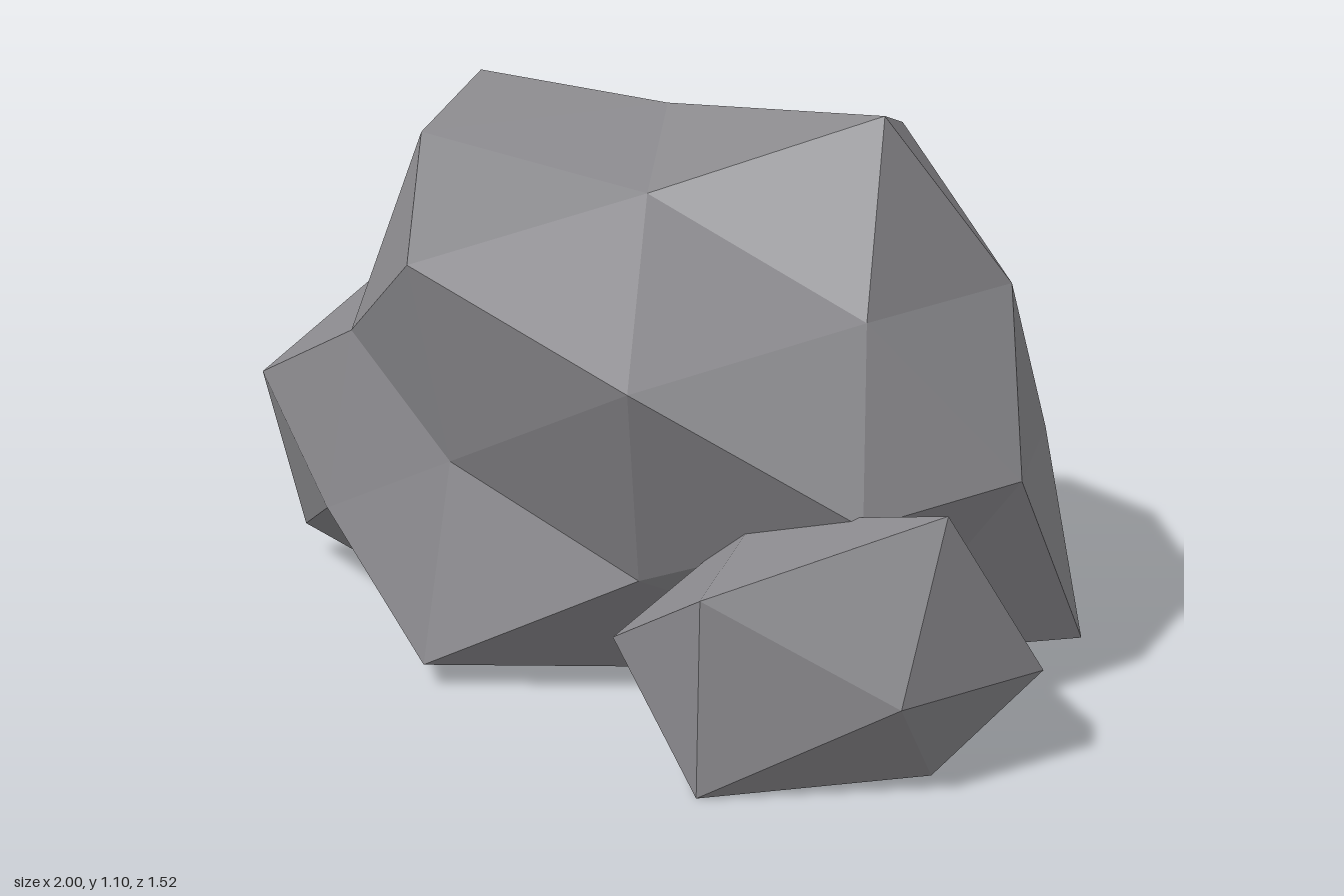
import * as THREE from 'three';

const stone = new THREE.MeshStandardMaterial({ color: 0x8a898d, flatShading: true });
stone.name = 'stone grey';

// Radius of each icosahedron corner, grouped by direction family (absolute x, y, z in tenths).
// Within a family the index counts the signs of the non-zero axes: x, then y, then z.
const BOULDER = {
  '5,9,0': [1.075, 1.014, 0.95, 0.85],
  '0,5,9': [1.07, 1.035, 0.95, 1.03],
  '9,0,5': [1.04, 0.94, 0.827, 0.88],
  '10,0,0': [0.912, 0.843],
  '0,10,0': [0.855, 0.9],
  '0,0,10': [0.78, 0.733],
  '3,8,5': [0.9, 0.985, 0.8, 0.82, 0.96, 0.76, 0.73, 0.8],
  '8,5,3': [0.87, 0.72, 0.91, 1.03, 0.88, 0.73, 1.07, 0.9],
  '5,3,8': [1.06, 0.79, 0.81, 0.86, 0.8, 0.915, 0.74, 0.815],
};
const PEBBLE = {
  '5,9,0': [0.515, 0.36, 0.457, 0.42],
  '0,5,9': [0.493, 0.507, 0.425, 0.43],
  '9,0,5': [0.35, 0.435, 0.411, 0.42],
};

function radiusAt(dir, table) {
  const parts = dir.toArray();
  const key = parts.map((c) => Math.round(Math.abs(c) * 10)).join(',');
  let index = 0;
  let bit = 1;
  for (const c of parts) {
    if (Math.abs(c) < 0.01) continue;
    if (c < 0) index += bit;
    bit *= 2;
  }
  return table[key][index];
}

// Faceted rock: push corners in or out, squash, then flatten against the ground
function makeRock(name, detail, table, centre, scale) {
  const geometry = new THREE.IcosahedronGeometry(1, detail);
  const pos = geometry.attributes.position;
  const v = new THREE.Vector3();
  for (let i = 0; i < pos.count; i++) {
    v.fromBufferAttribute(pos, i).normalize();
    v.multiplyScalar(radiusAt(v, table)).multiply(scale).add(centre);
    pos.setXYZ(i, v.x, Math.max(0, v.y), v.z);
  }
  geometry.computeVertexNormals();
  const mesh = new THREE.Mesh(geometry, stone);
  mesh.name = name;
  return mesh;
}

export function createModel() {
  const group = new THREE.Group();
  group.name = 'rocks';
  group.add(
    makeRock('boulder', 1, BOULDER, new THREE.Vector3(-0.157, 0.44, -0.05), new THREE.Vector3(1, 0.725, 0.805)),
    makeRock('smallRock', 0, PEBBLE, new THREE.Vector3(0.65, 0.18, 0.385), new THREE.Vector3(1, 0.73, 0.87)),
  );
  return group;
}
